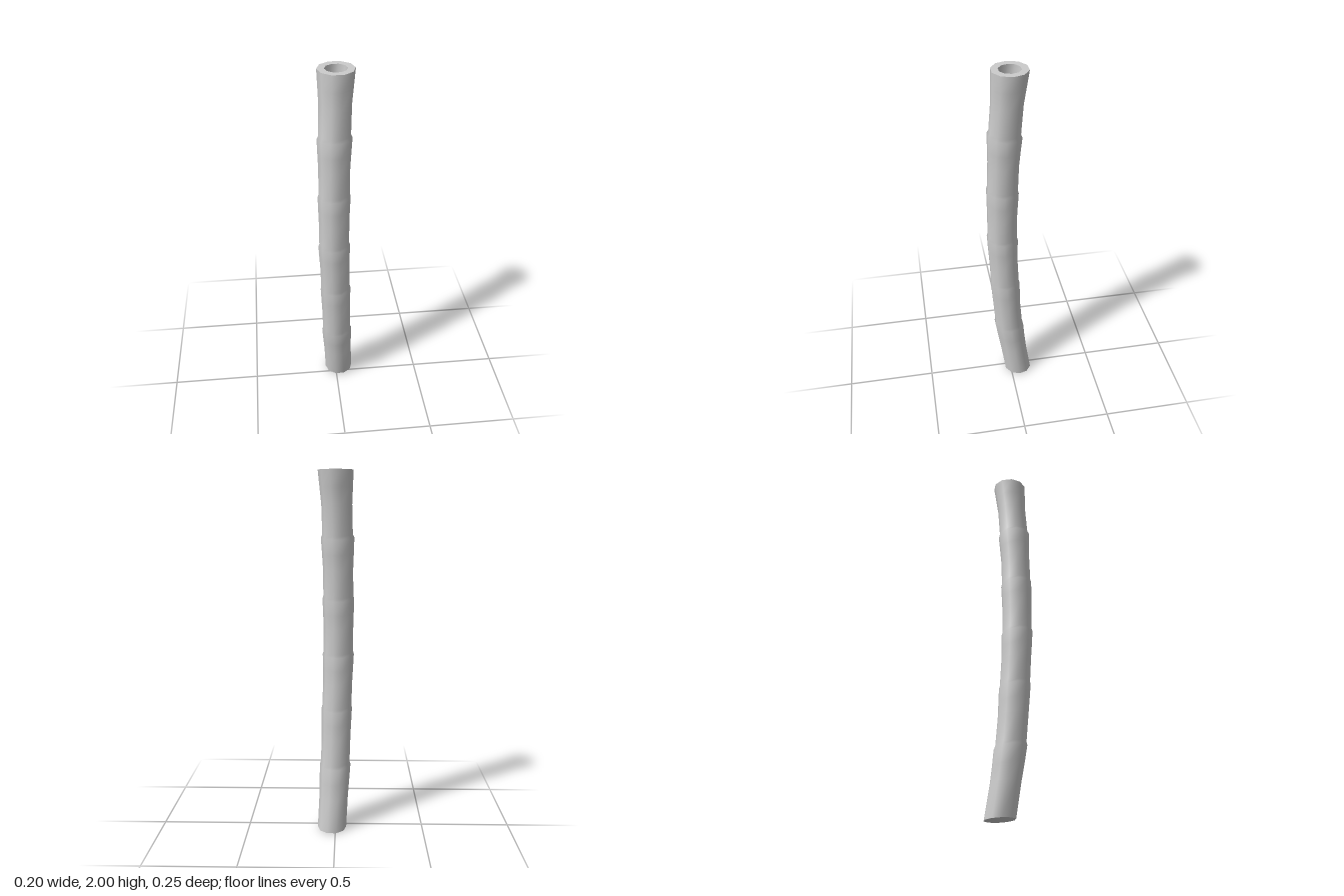
import * as THREE from 'three';

const SIDES = 10;

// Centre line of the stalk, one point per node (evenly spaced in t)
const spine = new THREE.CatmullRomCurve3([
  [0.02, 0.005, -0.045], [0.003, 0.37, 0.006], [-0.006, 0.7, 0.028], [-0.014, 1.01, 0.04],
  [-0.014, 1.32, 0.037], [-0.01, 1.65, 0.025], [0, 2, 0],
].map((p) => new THREE.Vector3(...p)));
const SEGMENTS = 6;

// Skin a list of [t, radius] rings placed along the spine
function loft(name, rings) {
  const pos = [], index = [];
  for (const [t, r] of rings) {
    const c = spine.getPoint(t);
    // nodes lean slightly, the mouth is level
    const lean = t > 0.9 ? 0 : t < 0.05 ? 0.06 : 0.1;
    for (let j = 0; j < SIDES; j++) {
      const a = (j / SIDES) * Math.PI * 2;
      const dz = Math.sin(a) * r;
      pos.push(c.x + Math.cos(a) * r, c.y + dz * lean, c.z + dz);
    }
  }
  for (let i = 0; i < rings.length - 1; i++) {
    for (let j = 0; j < SIDES; j++) {
      const k = (j + 1) % SIDES;
      const a = i * SIDES + j, b = i * SIDES + k;
      const c = a + SIDES, d = b + SIDES;
      index.push(a, c, b, b, c, d);
    }
  }
  const geo = new THREE.BufferGeometry();
  geo.setAttribute('position', new THREE.Float32BufferAttribute(pos, 3));
  geo.setIndex(index);
  geo.computeVertexNormals();
  const mesh = new THREE.Mesh(geo, new THREE.MeshStandardMaterial({ color: 0xcccccc }));
  mesh.name = name;
  return mesh;
}

export function createModel() {
  const stalk = new THREE.Group();
  stalk.name = 'hollowStalk';

  // Jointed segments: narrow foot, swelling towards the next node
  const topRadius = [0.088, 0.086, 0.087, 0.087, 0.09, 0.094];
  const rings = [];
  topRadius.forEach((r, i) => {
    const at = (f) => (i + f) / SEGMENTS;
    rings.push([at(i ? 0.05 : 0), 0.082], [at(0.5), 0.082], [at(0.75), (r + 0.082) / 2], [at(1), r]);
  });
  stalk.add(loft('stalkSegments', rings));

  // Closed foot
  stalk.add(loft('base', [[0, 0], [0, 0.082]]));

  // Open mouth: flat rim, cavity wall and floor
  const floorT = 1 - 0.4 / SEGMENTS;
  stalk.add(loft('rim', [[1, 0.094], [1, 0.057]]));
  stalk.add(loft('cavityWall', [[1, 0.057], [floorT, 0.057]]));
  stalk.add(loft('cavityFloor', [[floorT, 0.057], [floorT, 0]]));
  return stalk;
}
